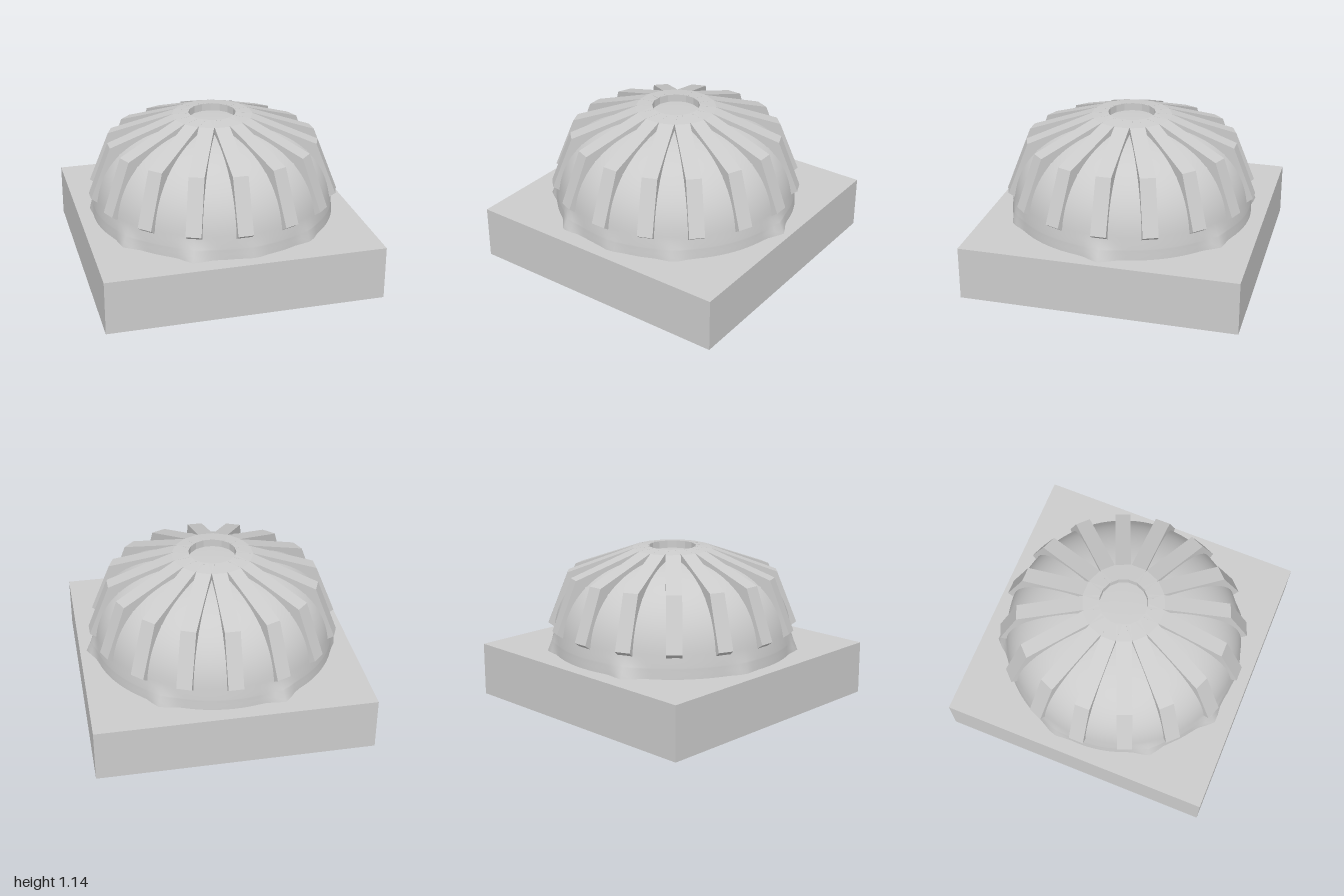
import * as THREE from 'three';
import { mergeVertices } from 'three/addons/utils/BufferGeometryUtils.js';

const grey = new THREE.MeshStandardMaterial({ color: 0xcccccc, side: THREE.DoubleSide });
const flatGrey = new THREE.MeshStandardMaterial({ color: 0xcccccc, side: THREE.DoubleSide, flatShading: true });

const BASE_H = 0.39;

// Square plinth, hollow and open underneath
function makeBase() {
  const geo = new THREE.BoxGeometry(2, BASE_H, 2);
  const index = Array.from(geo.index.array);
  index.splice(18, 6); // drop the bottom face
  geo.setIndex(index);
  geo.clearGroups();
  geo.translate(0, BASE_H / 2, 0);
  const base = new THREE.Mesh(geo, flatGrey);
  base.name = 'base';
  return base;
}

// Full, slightly squared dome with a ragged foot
function makeDome() {
  const R = 0.885, H = 0.7, N = 2.5;
  const points = [];
  for (let i = 0; i <= 28; i++) {
    const a = (i / 28) * Math.PI / 2;
    points.push(new THREE.Vector2(
      R * Math.pow(Math.max(0, Math.cos(a)), 2 / N),
      BASE_H + H * Math.pow(Math.sin(a), 2 / N)
    ));
  }
  points[28].x = 0;
  // extra rings where the foot flares
  points.splice(1, 0, new THREE.Vector2(R, 0.43), new THREE.Vector2(R, 0.47));
  points.sort((p, q) => p.y - q.y);
  let geo = new THREE.LatheGeometry(points, 96);
  geo.deleteAttribute('uv');
  geo.deleteAttribute('normal');
  geo = mergeVertices(geo, 1e-4);

  // places (x, z) where the foot juts out
  const spurs = [[0.95, 0], [-0.36, 0.88], [0.53, 0.76], [-0.78, 0.52],
    [0.52, -0.78], [-0.37, -0.88], [-0.9, -0.2], [0.08, 0.91]];
  const pos = geo.attributes.position;
  for (let i = 0; i < pos.count; i++) {
    const x = pos.getX(i), y = pos.getY(i), z = pos.getZ(i);
    const low = Math.max(0, 1 - (y - BASE_H) / 0.13);
    if (low === 0) continue;
    let push = 0.008;
    for (const [sx, sz] of spurs) {
      const d = Math.acos(Math.min(1, Math.max(-1, (x * sx + z * sz) / (Math.hypot(x, z) * Math.hypot(sx, sz)))));
      push = Math.max(push, (Math.hypot(sx, sz) - R) * (1 - d / 0.17));
    }
    const k = 1 + low * push / R;
    pos.setXYZ(i, x * k, y, z * k);
  }
  geo.computeVertexNormals();
  const dome = new THREE.Mesh(geo, grey);
  dome.name = 'dome';
  return dome;
}

// Sixteen bent ribs radiating from the round opening at the crown
function makeRibs() {
  const width = 0.11, count = 16;
  const profile = [[0.17, 1.14], [0.29, 1.125], [0.77, 0.95], [0.92, 0.57],
    [0.865, 0.53], [0.70, 0.90], [0.28, 1.06], [0.17, 1.07]];
  const shape = new THREE.Shape(profile.map(([r, y]) => new THREE.Vector2(r, y)));
  const geo = new THREE.ExtrudeGeometry(shape, { depth: width, bevelEnabled: false });
  geo.translate(0, 0, -width / 2);
  const ribs = new THREE.Group();
  ribs.name = 'ribs';
  for (let i = 0; i < count; i++) {
    const rib = new THREE.Mesh(geo, flatGrey);
    rib.name = 'rib';
    rib.rotation.y = (i / count) * Math.PI * 2;
    ribs.add(rib);
  }
  return ribs;
}

export function createModel() {
  const model = new THREE.Group();
  model.name = 'ribbedDome';
  model.add(makeBase(), makeDome(), makeRibs());
  return model;
}
